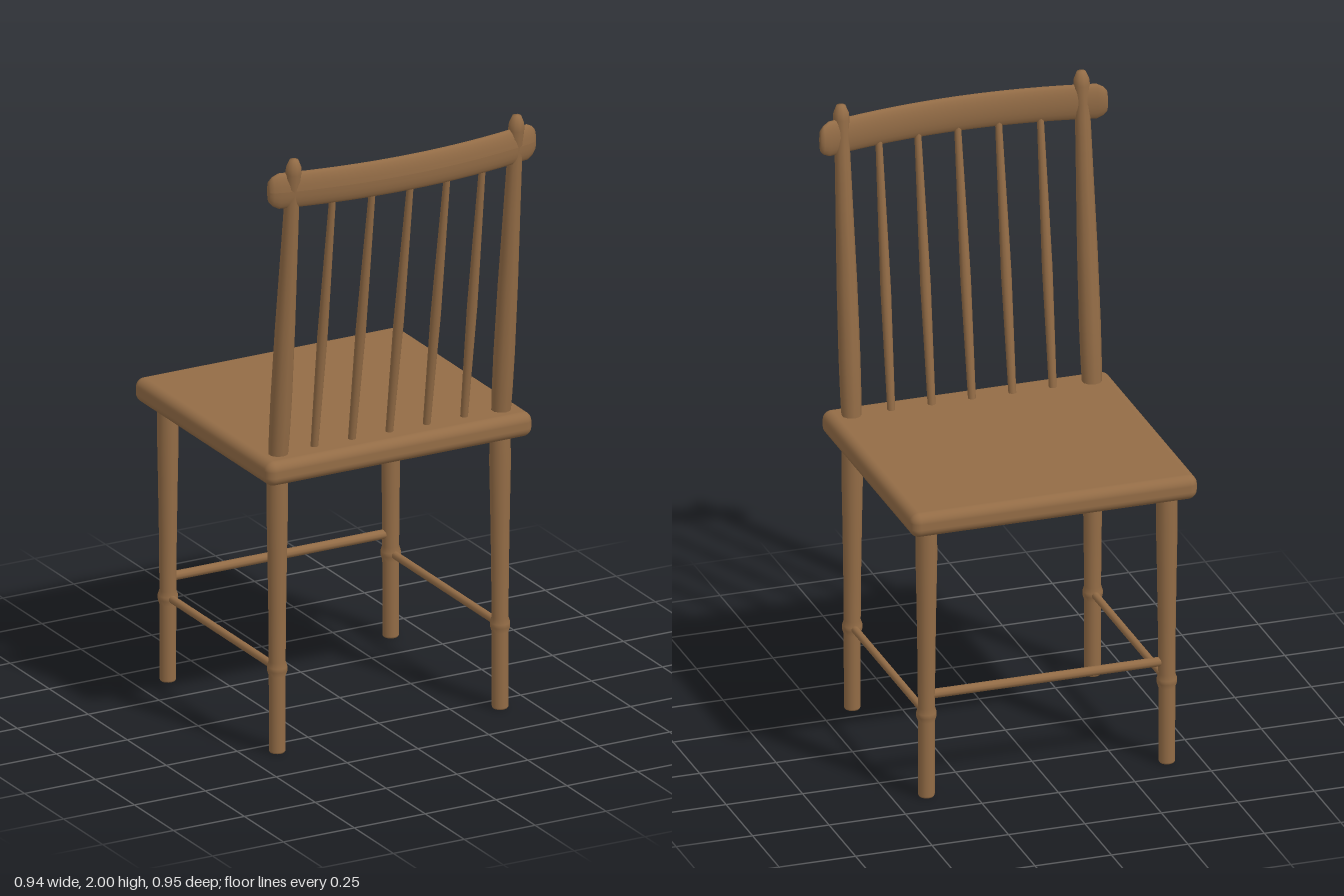
import * as THREE from 'three';
import { RoundedBoxGeometry } from 'three/addons/geometries/RoundedBoxGeometry.js';

const wood = new THREE.MeshStandardMaterial({ color: 0x936c46 });
wood.name = 'brown wood';

const LEG_X = 0.393, BACK_Z = 0.312, FRONT_Z = -0.388;
const railZ = (x) => 0.454 - 0.27 * x * x;

// Turned part between two points; profile lists [radius, fraction of length]
function turned(name, profile, from, to, segments = 14) {
  const a = new THREE.Vector3(...from), b = new THREE.Vector3(...to);
  const length = a.distanceTo(b);
  const points = profile.map(([r, t]) => new THREE.Vector2(r, t * length));
  const mesh = new THREE.Mesh(new THREE.LatheGeometry(points, segments), wood);
  mesh.name = name;
  mesh.position.copy(a);
  mesh.quaternion.setFromUnitVectors(new THREE.Vector3(0, 1, 0), b.sub(a).normalize());
  return mesh;
}

// Bowed top rail: an oval rod with rounded ends, bent backwards in the middle
function topRail() {
  const half = 0.468, points = [new THREE.Vector2(0, -half)];
  for (const [r, x] of [[0.6, 0.468], [0.82, 0.457], [1, 0.437]]) points.push(new THREE.Vector2(r, -x));
  for (let i = 1; i < 16; i++) points.push(new THREE.Vector2(1, -0.437 + (0.874 * i) / 16));
  for (const [r, x] of [[1, 0.437], [0.82, 0.457], [0.6, 0.468], [0, 0.468]]) points.push(new THREE.Vector2(r, x));
  const geometry = new THREE.LatheGeometry(points, 20);
  geometry.rotateZ(-Math.PI / 2);
  geometry.scale(1, 0.059, 0.02);
  const p = geometry.attributes.position;
  for (let i = 0; i < p.count; i++) p.setZ(i, p.getZ(i) + railZ(p.getX(i)));
  geometry.computeVertexNormals();
  const mesh = new THREE.Mesh(geometry, wood);
  mesh.name = 'topRail';
  mesh.position.y = 1.895;
  return mesh;
}

export function createModel() {
  const chair = new THREE.Group();
  chair.name = 'chair';

  const seat = new THREE.Mesh(new RoundedBoxGeometry(0.938, 0.08, 0.874, 4, 0.03), wood);
  seat.name = 'seat';
  seat.position.set(0, 0.95, -0.04);
  chair.add(seat);

  // Legs swell towards the seat and carry a small ring at the side stretchers
  const legProfile = [
    [0, 0], [0.023, 0], [0.026, 0.006], [0.0265, 0.27], [0.032, 0.288], [0.032, 0.302],
    [0.0265, 0.32], [0.028, 0.5], [0.031, 0.7], [0.034, 0.86], [0.033, 1],
  ];
  const postProfile = [
    [0.03, 0], [0.033, 0.1], [0.034, 0.22], [0.032, 0.45], [0.027, 0.7], [0.024, 0.86],
    [0.023, 0.9], [0.026, 0.955], [0.024, 0.975], [0.014, 0.998], [0, 1],
  ];
  const rod = (r) => [[r, 0], [r, 1]];

  for (const side of [-1, 1]) {
    const x = side * LEG_X, label = side > 0 ? 'left' : 'right';
    chair.add(turned(label + 'BackLeg', legProfile, [x, 0, BACK_Z], [x, 0.94, BACK_Z]));
    chair.add(turned(label + 'FrontLeg', legProfile, [x, 0, FRONT_Z], [x, 0.94, FRONT_Z]));
    chair.add(turned(label + 'SideStretcher', rod(0.0125), [x, 0.277, FRONT_Z], [x, 0.277, BACK_Z], 10));
    chair.add(turned(label + 'BackPost', postProfile, [x, 0.95, 0.315], [x, 1.998, 0.42], 10));
  }
  chair.add(turned('crossStretcher', rod(0.015), [-LEG_X, 0.342, FRONT_Z], [LEG_X, 0.342, FRONT_Z], 10));

  // Five slim spindles fan back from the seat to the bowed rail
  const spindleProfile = [[0.012, 0], [0.0145, 0.25], [0.0165, 0.45], [0.0145, 0.65], [0.0105, 1]];
  for (let i = -2; i <= 2; i++) {
    const x = i * 0.132;
    chair.add(turned('spindle' + (i + 3), spindleProfile, [x, 0.96, 0.312], [x, 1.87, railZ(x)], 10));
  }

  chair.add(topRail());
  return chair;
}
